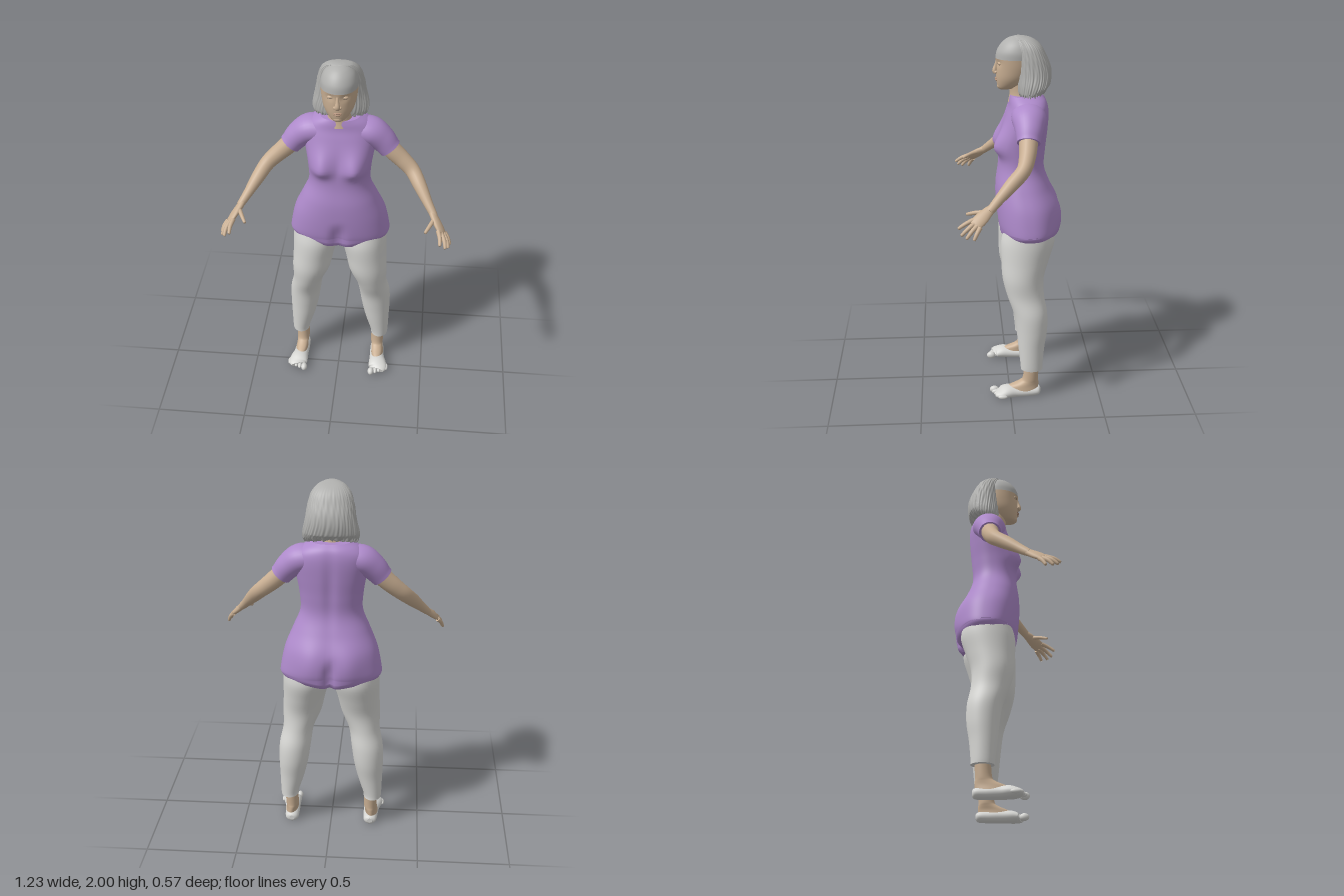
import * as THREE from 'three';

const mat = (name, color, extra = {}) => Object.assign(new THREE.MeshStandardMaterial({ color, ...extra }), { name });
const V = (x, y, z) => new THREE.Vector3(x, y, z);
const bell = (d, s) => Math.exp(-(d * d) / (s * s));

// Catmull-Rom interpolation of rows of numbers
function smooth(rows, steps) {
  const out = [], n = rows.length;
  for (let i = 0; i < n - 1; i++) {
    const a = rows[Math.max(i - 1, 0)], b = rows[i], c = rows[i + 1], d = rows[Math.min(i + 2, n - 1)];
    for (let k = 0; k < steps; k++) {
      const t = k / steps;
      out.push(b.map((_, j) => b[j] + 0.5 * t * (c[j] - a[j]
        + t * (2 * a[j] - 5 * b[j] + 4 * c[j] - d[j] + t * (3 * (b[j] - c[j]) + d[j] - a[j])))));
    }
  }
  out.push(rows[n - 1]);
  return out;
}

// Closed skin over rings of points, with fan caps
function skin(rings) {
  const pos = [], idx = [], m = rings[0].length, n = rings.length;
  rings.forEach(r => r.forEach(p => pos.push(p.x, p.y, p.z)));
  for (let i = 0; i < n - 1; i++) for (let j = 0; j < m; j++) {
    const a = i * m + j, b = i * m + (j + 1) % m;
    idx.push(a, a + m, b, b, a + m, b + m);
  }
  [0, n - 1].forEach(i => {
    const c = V(0, 0, 0), first = pos.length / 3;
    rings[i].forEach(p => c.addScaledVector(p, 1 / m));
    rings[i].forEach(p => pos.push(p.x, p.y, p.z));
    pos.push(c.x, c.y, c.z);
    for (let j = 0; j < m; j++) {
      const a = first + j, b = first + (j + 1) % m;
      if (i === 0) idx.push(a, b, first + m); else idx.push(b, a, first + m);
    }
  });
  const g = new THREE.BufferGeometry();
  g.setAttribute('position', new THREE.Float32BufferAttribute(pos, 3));
  g.setIndex(idx);
  g.computeVertexNormals();
  return g;
}

// Horizontal rings from rows [y, centre x, half width, front z, back z]
function loft(rows, { segs = 40, steps = 5, power = 2, warp } = {}) {
  return skin(smooth(rows, steps).map(([y, cx, rx, zf, zb]) => Array.from({ length: segs }, (_, j) => {
    const a = j / segs * Math.PI * 2, f = t => Math.sign(t) * Math.abs(t) ** (2 / power);
    const p = V(cx + rx * f(Math.cos(a)), y, (zf + zb) / 2 + (zf - zb) / 2 * f(Math.sin(a)));
    if (warp) warp(p, a);
    return p;
  })));
}

// Sweep along rows [x, y, z, radius across, radius along ref]
function sweep(rows, ref, { segs = 20, steps = 5, warp } = {}) {
  const s = smooth(rows, steps), c = s.map(r => V(r[0], r[1], r[2]));
  return skin(s.map((r, i) => {
    const t = c[Math.min(i + 1, c.length - 1)].clone().sub(c[Math.max(i - 1, 0)]).normalize();
    const v = ref.clone().addScaledVector(t, -ref.dot(t)).normalize(), u = t.clone().cross(v);
    return Array.from({ length: segs }, (_, j) => {
      const a = j / segs * Math.PI * 2;
      const p = c[i].clone().addScaledVector(u, r[3] * Math.cos(a)).addScaledVector(v, r[4] * Math.sin(a));
      if (warp) warp(p);
      return p;
    });
  }));
}

const blob = (x, y, z, rx, ry, rz) => new THREE.SphereGeometry(1, 20, 14).scale(rx, ry, rz).translate(x, y, z);

function mirrored(geo) {
  const g = geo.clone().scale(-1, 1, 1), ix = g.index;
  for (let i = 0; i < ix.count; i += 3) {
    const b = ix.getX(i + 1);
    ix.setX(i + 1, ix.getX(i + 2));
    ix.setX(i + 2, b);
  }
  g.computeVertexNormals();
  return g;
}

export function createModel() {
  const model = new THREE.Group();
  model.name = 'standingWoman';
  const skinTone = mat('skin', 0xc8ae92), purple = mat('purple cloth', 0xae8acb);
  const pale = mat('pale cloth', 0xd6d6d3), hairGrey = mat('grey hair', 0xb0b0ae);
  const lash = mat('lash', 0x75685a), lip = mat('lip', 0xb08f78);
  const add = (name, geo, m) => {
    const mesh = new THREE.Mesh(geo, m);
    mesh.name = name;
    model.add(mesh);
  };
  const pair = (name, geo, m) => {
    add(name + 'Left', geo, m);
    add(name + 'Right', mirrored(geo), m);
  };

  // Tunic body with bust, buttocks and creases
  add('tunic', loft([
    [0.925, 0, 0.262, 0.035, -0.25], [0.95, 0, 0.276, 0.048, -0.265], [1.0, 0, 0.272, 0.06, -0.272],
    [1.1, 0, 0.25, 0.068, -0.262], [1.2, 0, 0.208, 0.068, -0.225], [1.3, 0, 0.168, 0.055, -0.195],
    [1.4, 0, 0.17, 0.05, -0.2], [1.5, 0, 0.185, 0.035, -0.21], [1.58, 0, 0.195, 0.015, -0.215],
    [1.63, 0, 0.185, 0, -0.212], [1.665, 0, 0.15, -0.005, -0.2], [1.69, 0, 0.105, -0.01, -0.175],
  ], {
    segs: 96, steps: 6, power: 2.3, warp: (p, a) => {
      const x = Math.abs(p.x), s = Math.sin(a), low = THREE.MathUtils.smoothstep(1.1 - p.y, 0, 0.12);
      if (s > 0) {
        p.z += Math.min(1, s * 2) * 0.045 * bell(x - 0.095, 0.062) * bell(p.y - 1.42, p.y < 1.42 ? 0.045 : 0.09);
        p.z -= 0.025 * low * bell(x, 0.035);
      } else {
        p.z -= 0.022 * bell(x - 0.1, 0.08) * bell(p.y - 1.04, 0.12);
        p.z += 0.03 * low * bell(x, 0.022) + 0.01 * bell(x, 0.03) * bell(p.y - 1.45, 0.2);
      }
      if (p.y < 0.96) p.y -= 0.022 * bell(x, 0.1) - 0.012 * bell(x - 0.27, 0.08);
    },
  }), purple);
  pair('sleeve', sweep([
    [0.1, 1.6, -0.1, 0.07, 0.09], [0.165, 1.59, -0.1, 0.077, 0.09], [0.22, 1.55, -0.097, 0.07, 0.075],
    [0.255, 1.51, -0.092, 0.062, 0.064], [0.268, 1.495, -0.09, 0.06, 0.061],
  ], V(0, 0, 1), { segs: 32 }), purple);

  // Leggings, ankles and feet
  pair('legging', loft([
    [0.17, 0.237, 0.049, -0.058, -0.18], [0.2, 0.236, 0.052, -0.056, -0.18], [0.3, 0.222, 0.069, -0.045, -0.19],
    [0.4, 0.212, 0.082, -0.035, -0.205], [0.5, 0.203, 0.088, -0.02, -0.205], [0.6, 0.185, 0.086, 0.015, -0.188],
    [0.7, 0.164, 0.107, 0.04, -0.187], [0.8, 0.15, 0.116, 0.045, -0.215], [0.9, 0.136, 0.128, 0.046, -0.245],
    [0.97, 0.133, 0.125, 0.03, -0.24],
  ]), pale);
  pair('ankle', loft([
    [0.03, 0.232, 0.038, 0.03, -0.155], [0.06, 0.23, 0.034, 0.012, -0.158], [0.085, 0.227, 0.034, -0.045, -0.158],
    [0.11, 0.226, 0.036, -0.07, -0.156], [0.2, 0.227, 0.037, -0.078, -0.162],
  ]), skinTone);
  const ground = p => { p.y = Math.max(p.y, 0); };
  pair('foot', sweep([
    [0.226, 0.026, -0.17, 0.015, 0.014], [0.226, 0.026, -0.155, 0.035, 0.027], [0.228, 0.025, -0.1, 0.041, 0.032],
    [0.232, 0.027, -0.03, 0.044, 0.034], [0.238, 0.029, 0.02, 0.052, 0.034], [0.242, 0.024, 0.055, 0.054, 0.025],
    [0.238, 0.02, 0.075, 0.042, 0.017],
  ], V(0, 1, 0), { segs: 28, warp: ground }), pale);
  for (let i = 0; i < 5; i++) {
    const r = i ? 0.0125 - i * 0.0005 : 0.018;
    const x = i ? 0.207 + 0.0215 * i : 0.202, z = 0.09 - 0.011 * i;
    pair('toe' + (i + 1), blob(x, 0.021, z, r, r * 1.15, 0.026), pale);
  }

  // Arms
  pair('arm', sweep([
    [0.23, 1.54, -0.095, 0.05, 0.05], [0.28, 1.485, -0.088, 0.05, 0.048], [0.335, 1.435, -0.078, 0.046, 0.043],
    [0.39, 1.385, -0.055, 0.041, 0.038], [0.435, 1.33, 0.005, 0.036, 0.036], [0.48, 1.27, 0.07, 0.026, 0.027],
    [0.51, 1.232, 0.11, 0.021, 0.023], [0.52, 1.22, 0.125, 0.018, 0.022],
  ], V(0, 0, 1)), skinTone);

  // Hands: palm, four fingers, thumb
  const across = V(-0.05, 0.045, 0.08);
  pair('palm', sweep([
    [0.503, 1.238, 0.1, 0.018, 0.02], [0.52, 1.218, 0.13, 0.018, 0.028], [0.542, 1.193, 0.162, 0.017, 0.035],
    [0.561, 1.171, 0.19, 0.013, 0.034], [0.568, 1.163, 0.2, 0.008, 0.028],
  ], across), skinTone);
  [
    ['indexFinger', [0.543, 1.185, 0.205], [0.553, 1.168, 0.245], [0.555, 1.146, 0.279]],
    ['middleFinger', [0.557, 1.173, 0.198], [0.577, 1.148, 0.235], [0.584, 1.12, 0.265]],
    ['ringFinger', [0.568, 1.163, 0.187], [0.59, 1.138, 0.216], [0.6, 1.108, 0.24]],
    ['littleFinger', [0.577, 1.155, 0.173], [0.596, 1.133, 0.188], [0.608, 1.103, 0.203]],
    ['thumb', [0.522, 1.215, 0.14], [0.5, 1.208, 0.19], [0.477, 1.192, 0.234]],
  ].forEach(([name, a, b, c]) => {
    const tip = c.map((v, i) => v + (v - b[i]) * 0.06);
    pair(name, sweep([[...a, 0.0125, 0.0125], [...b, 0.011, 0.011], [...c, 0.008, 0.008], [...tip, 0.003, 0.003]],
      across, { segs: 12, steps: 4 }), skinTone);
  });

  // Neck, face and scalp
  add('neck', loft([[1.65, 0, 0.08, 0, -0.15], [1.7, 0, 0.062, -0.008, -0.13], [1.78, 0, 0.058, 0, -0.13]]), skinTone);
  add('face', loft([
    [1.718, 0, 0.02, 0.045, -0.01], [1.728, 0, 0.042, 0.054, -0.05], [1.755, 0, 0.066, 0.06, -0.1],
    [1.79, 0, 0.083, 0.063, -0.13], [1.84, 0, 0.093, 0.063, -0.15], [1.885, 0, 0.097, 0.066, -0.16],
  ], { warp: p => {
    if (p.z > 0) p.z -= 0.008 * bell(Math.abs(p.x) - 0.036, 0.022) * bell(p.y - 1.862, 0.018);
  } }), skinTone);
  add('scalp', loft([
    [1.885, 0, 0.097, 0.066, -0.16], [1.92, 0, 0.095, 0.06, -0.16], [1.955, 0, 0.081, 0.04, -0.145],
    [1.98, 0, 0.058, 0.014, -0.12], [1.993, 0, 0.034, -0.012, -0.09], [1.998, 0, 0.01, -0.035, -0.055],
  ]), hairGrey);
  add('nose', sweep([
    [0, 1.872, 0.058, 0.008, 0.006], [0, 1.845, 0.064, 0.009, 0.009], [0, 1.818, 0.07, 0.014, 0.013],
    [0, 1.805, 0.066, 0.014, 0.011],
  ], V(0, 0, 1)), skinTone);
  pair('nostril', blob(0.013, 1.81, 0.063, 0.009, 0.008, 0.01), skinTone);
  pair('eyelid', blob(0.036, 1.861, 0.044, 0.018, 0.01, 0.011), skinTone);
  pair('lashLine', blob(0.036, 1.859, 0.053, 0.015, 0.0018, 0.0035), lash);
  add('upperLip', blob(0, 1.777, 0.06, 0.023, 0.005, 0.01), lip);
  add('lowerLip', blob(0, 1.768, 0.059, 0.02, 0.006, 0.01), lip);
  add('chin', blob(0, 1.737, 0.042, 0.026, 0.018, 0.017), skinTone);

  // Shoulder-length hair with strand ridges and a ragged hem
  add('hair', loft([
    [1.7, 0, 0.14, -0.05, -0.195], [1.715, 0, 0.146, -0.046, -0.207], [1.75, 0, 0.146, -0.043, -0.221],
    [1.8, 0, 0.135, -0.042, -0.228], [1.85, 0, 0.126, -0.04, -0.221], [1.9, 0, 0.117, -0.04, -0.2],
    [1.95, 0, 0.1, -0.036, -0.172], [1.982, 0, 0.07, -0.033, -0.132], [1.996, 0, 0.035, -0.03, -0.085],
    [2.0, 0, 0.008, -0.04, -0.055],
  ], {
    segs: 180, steps: 5, power: 2.3, warp: (p, a) => {
      const strand = Math.sin(a * 45 + 3 * Math.sin(p.y * 25)) + 0.7 * Math.sin(a * 29 + p.y * 30);
      const k = 1 + 0.012 * strand * (1.99 > p.y ? 1 : 0);
      p.x *= k;
      p.z = -0.13 + (p.z + 0.13) * k;
      if (p.y < 1.75) {
        const t = (1.75 - p.y) / 0.05;
        p.y += t * (0.007 * strand + Math.max(0, -0.12 - p.z) * 0.3);
      }
    },
  }), hairGrey);
  return model;
}
